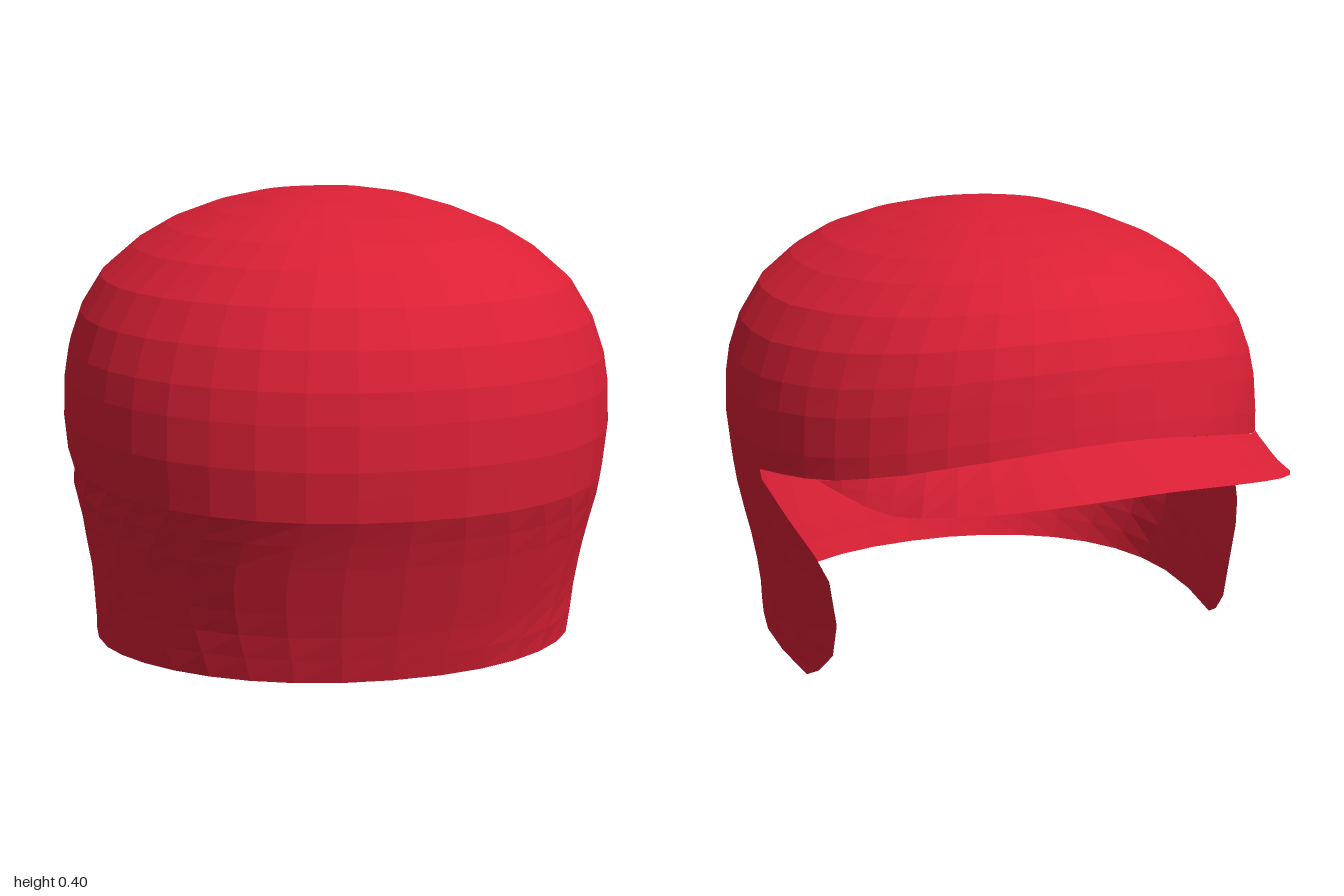
import * as THREE from 'three';

const CENTRE_Z = 0.05, BASE = 0.18, TOP = 0.395, P = 0.94;

// Shell sections: height, half width, back z, front z
const SECTIONS = [
  [0, 0.205, 0.236, -0.215], [0.018, 0.205, 0.243, -0.215], [0.06, 0.208, 0.257, -0.216],
  [0.1, 0.215, 0.272, -0.217], [0.13, 0.221, 0.283, -0.218], [0.16, 0.226, 0.296, -0.218],
  [0.2, 0.23, 0.301, -0.218], [0.235, 0.229, 0.3, -0.216], [0.26, 0.225, 0.297, -0.213],
  [0.29, 0.215, 0.287, -0.209], [0.32, 0.197, 0.27, -0.197], [0.345, 0.168, 0.246, -0.175],
  [0.362, 0.14, 0.217, -0.15], [0.377, 0.103, 0.17, -0.105], [0.387, 0.068, 0.122, -0.055],
  [0.393, 0.03, 0.08, 0.01], [TOP, 0, CENTRE_Z, CENTRE_Z],
];
// Front edge of the ear flap, top to bottom: z, y
const FLAP_EDGE = [
  [0.012, 0.18], [0.01, 0.171], [-0.03, 0.145], [-0.06, 0.12], [-0.072, 0.1],
  [-0.071, 0.06], [-0.062, 0.03], [-0.04, 0.01], [-0.02, 0],
];
// Brow line over the face: z, y
const BROW = [[-0.22, 0.236], [-0.2, 0.226], [-0.15, 0.208], [-0.085, 0.192], [-0.04, 0.187], [0.012, BASE]];

// Linear lookup in a table sorted by its first column
function lookup(table, v, col) {
  if (v <= table[0][0]) return table[0][col];
  for (let i = 1; i < table.length; i++) {
    const a = table[i - 1], b = table[i];
    if (v <= b[0]) return THREE.MathUtils.lerp(a[col], b[col], (v - a[0]) / (b[0] - a[0]));
  }
  return table[table.length - 1][col];
}

const power = (v) => Math.sign(v) * Math.pow(Math.abs(v), P);

// Point on the egg-shaped shell; angle 0 is the back, +-PI the front
function shellPoint(angle, y) {
  const c = power(Math.cos(angle));
  const reach = c > 0 ? lookup(SECTIONS, y, 2) - CENTRE_Z : CENTRE_Z - lookup(SECTIONS, y, 3);
  return [lookup(SECTIONS, y, 1) * power(Math.sin(angle)), y, CENTRE_Z + reach * c];
}

// Angle at which the shell reaches a given z in front of its centre
function angleAt(z, y) {
  const r = (CENTRE_Z - z) / (CENTRE_Z - lookup(SECTIONS, y, 3));
  return Math.acos(-Math.pow(r, 1 / P));
}

function grid(name, rows, cols, point, material) {
  const positions = [], index = [];
  for (let i = 0; i < rows; i++) for (let j = 0; j < cols; j++) positions.push(...point(i, j));
  for (let i = 0; i < rows - 1; i++) {
    for (let j = 0; j < cols - 1; j++) {
      const a = i * cols + j, b = a + 1, c = a + cols, d = c + 1;
      index.push(a, b, d, a, d, c);
    }
  }
  const geometry = new THREE.BufferGeometry();
  geometry.setAttribute('position', new THREE.Float32BufferAttribute(positions, 3));
  geometry.setIndex(index);
  geometry.computeVertexNormals();
  const mesh = new THREE.Mesh(geometry, material);
  mesh.name = name;
  return mesh;
}

export function createModel() {
  const material = new THREE.MeshStandardMaterial({
    color: 0xdc2035, flatShading: true, side: THREE.DoubleSide,
  });
  const helmet = new THREE.Group();
  helmet.name = 'helmet';

  const BACK = 10, FRONT = 10, HALF = BACK + FRONT;
  const notch = angleAt(FLAP_EDGE[0][0], BASE);

  // Column angle on the dome, with one column falling on each notch
  const domeAngle = (k) => {
    const n = Math.abs(k);
    const a = n <= BACK ? notch * n / BACK : notch + (Math.PI - notch) * (n - BACK) / FRONT;
    return Math.sign(k) * a;
  };
  const browY = (angle) => {
    if (Math.abs(angle) <= notch + 1e-6) return BASE;
    return lookup(BROW, shellPoint(angle, 0.21)[2], 1);
  };

  // Dome from the brow line to the crown
  const levels = [BASE, ...SECTIONS.map((s) => s[0]).filter((y) => y > BASE)];
  helmet.add(grid('dome', levels.length, HALF * 2 + 1, (i, j) => {
    const angle = domeAngle(j - HALF), low = browY(angle);
    const t = (levels[i] - BASE) / (TOP - BASE);
    return shellPoint(angle, low + t * (TOP - low));
  }, material));

  // Neck guard running round the back into both ear flaps
  const last = FLAP_EDGE.length - 1;
  helmet.add(grid('neckGuardAndEarFlaps', last + 1, BACK * 2 + 1, (i, j) => {
    const row = last - i, f = (j - BACK) / BACK;
    const [edgeZ, edgeY] = FLAP_EDGE[row];
    const backY = BASE - (BASE - 0.018) * row / last;
    const y = THREE.MathUtils.lerp(backY, edgeY, Math.pow(Math.abs(f), 4));
    return shellPoint(f * angleAt(edgeZ, edgeY), y);
  }, material));

  // Brim from the brow line out to a rounded, drooping edge
  const side = [[0.205, 0.191, -0.08], [0.192, 0.186, -0.13], [0.18, 0.184, -0.17],
    [0.16, 0.192, -0.218], [0.125, 0.202, -0.26], [0.07, 0.212, -0.292]];
  const outer = new THREE.CatmullRomCurve3([
    ...side.map(([x, y, z]) => new THREE.Vector3(x, y, z)),
    new THREE.Vector3(0, 0.216, -0.301),
    ...side.map(([x, y, z]) => new THREE.Vector3(-x, y, z)).reverse(),
  ]);
  const start = angleAt(-0.08, 0.2), BRIM_COLS = 21;
  helmet.add(grid('brim', 3, BRIM_COLS, (i, j) => {
    const u = j / (BRIM_COLS - 1);
    let angle = start + (2 * Math.PI - 2 * start) * u;
    if (angle > Math.PI) angle -= 2 * Math.PI;
    const inner = new THREE.Vector3(...shellPoint(angle, browY(angle)));
    return outer.getPointAt(u).lerp(inner, i / 2).toArray();
  }, material));

  helmet.position.x = -0.77;
  const model = new THREE.Group();
  model.add(helmet);
  return model;
}
